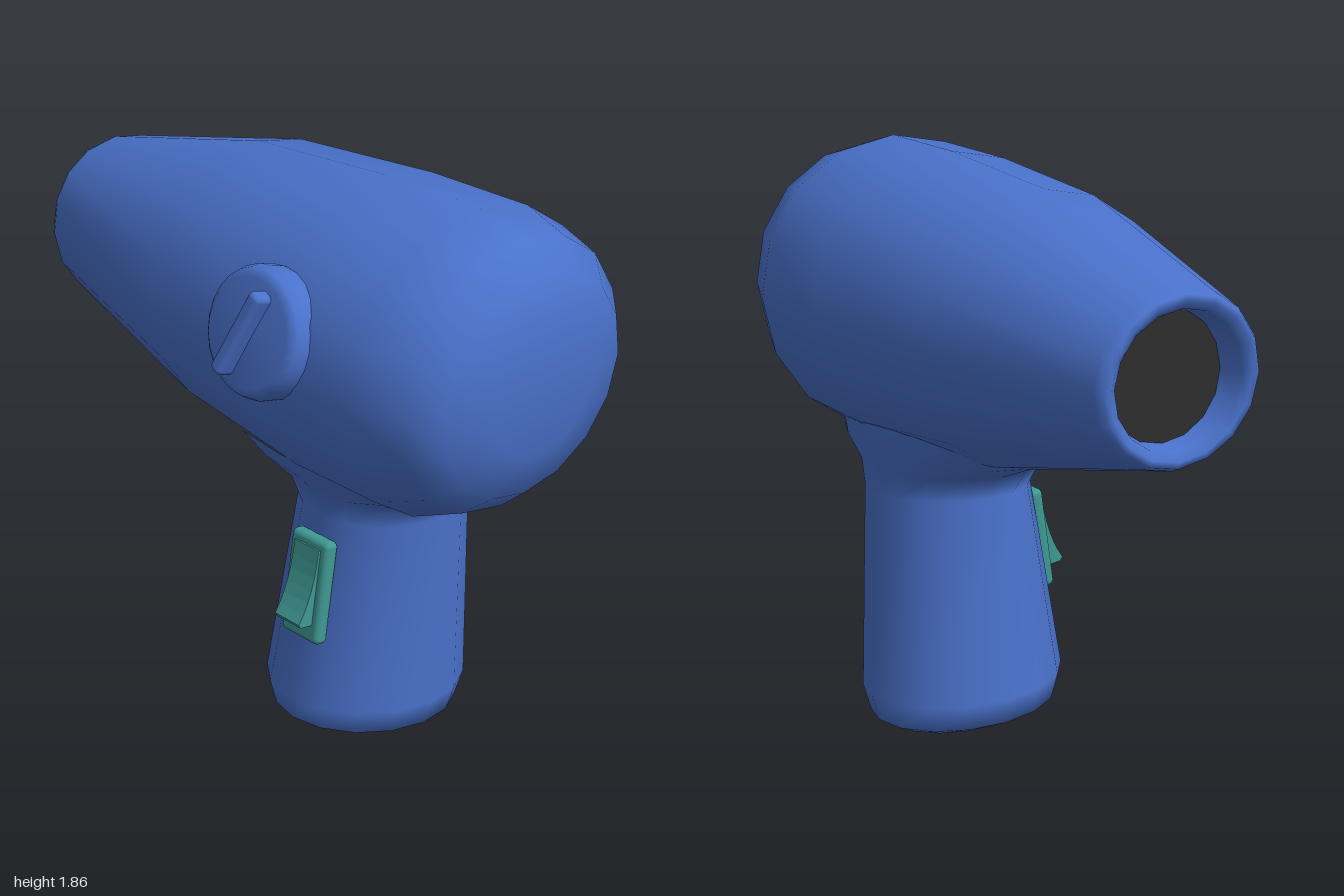
import * as THREE from 'three';
import { RoundedBoxGeometry } from 'three/addons/geometries/RoundedBoxGeometry.js';

const SIDES = 16;

// Skin a list of rings (each a function of cos, sin) with smooth normals; optional end caps.
function loft(rings, capStart, capEnd) {
  const pos = [], index = [];
  rings.forEach((ring) => {
    for (let j = 0; j < SIDES; j++) {
      const a = (j / SIDES) * Math.PI * 2;
      pos.push(...ring(Math.cos(a), Math.sin(a)));
    }
  });
  for (let i = 0; i < rings.length - 1; i++) {
    for (let j = 0; j < SIDES; j++) {
      const k = (j + 1) % SIDES;
      const a = i * SIDES + j, b = i * SIDES + k;
      index.push(a, b, b + SIDES, a, b + SIDES, a + SIDES);
    }
  }
  const cap = (ring, flip) => {
    const c = pos.length / 3, base = ring * SIDES;
    pos.push(...rings[ring](0, 0));
    for (let j = 0; j < SIDES; j++) {
      const a = base + j, b = base + ((j + 1) % SIDES);
      index.push(c, flip ? b : a, flip ? a : b);
    }
  };
  if (capStart) cap(0, true);
  if (capEnd) cap(rings.length - 1, false);
  const g = new THREE.BufferGeometry();
  g.setAttribute('position', new THREE.Float32BufferAttribute(pos, 3));
  g.setIndex(index);
  g.computeVertexNormals();
  return g;
}

export function createModel() {
  const group = new THREE.Group();
  const mat = (name, color) => {
    const m = new THREE.MeshStandardMaterial({ color });
    m.name = name;
    return m;
  };
  const blue = mat('blue shell', 0x4a72cc);
  const teal = mat('teal switch', 0x3f9993);
  const dark = mat('dark outlet', 0x2d2d2d);
  const add = (name, geometry, material, parent = group) => {
    const m = new THREE.Mesh(geometry, material);
    m.name = name;
    parent.add(m);
    return m;
  };

  // Barrel, from the recessed outlet to the rounded front: z, centre y, rx, ry, lean of the ring
  const barrel = [
    [-0.88, 1.385, 0.195, 0.195, -0.06],
    [-0.965, 1.385, 0.215, 0.21, -0.06],
    [-0.985, 1.385, 0.24, 0.235, -0.06],
    [-0.983, 1.385, 0.262, 0.255, -0.06],
    [-0.955, 1.385, 0.28, 0.268, -0.06],
    [-0.235, 1.385, 0.453, 0.437, -0.03],
    [0.32, 1.375, 0.5, 0.487, 0],
    [0.68, 1.378, 0.503, 0.487, 0.06],
    [0.853, 1.393, 0.44, 0.428, 0.06],
    [0.938, 1.388, 0.36, 0.347, 0.06],
    [0.985, 1.39, 0.21, 0.21, 0.07],
  ];
  add('barrel', loft(barrel.map(([z, cy, rx, ry, lean]) => (c, s) =>
    [0.053 + rx * c, cy + ry * s, z + lean * ry * s]), false, true), blue);

  // Dark disc inside the outlet
  const outlet = add('outlet', new THREE.CircleGeometry(0.2, 32), dark);
  outlet.position.set(0.053, 1.385, -0.885);
  outlet.rotation.set(0, Math.PI, 0);

  // Handle with a slanted foot and a flare into the barrel: y, x range, z range, slope
  const handle = [
    [0.02, -0.165, 0.31, 0.04, 0.41, -0.065],
    [0.06, -0.24, 0.387, -0.045, 0.51, -0.065],
    [0.145, -0.262, 0.41, -0.066, 0.535, -0.06],
    [0.8, -0.172, 0.37, 0.02, 0.54, 0],
    [0.885, -0.19, 0.375, -0.05, 0.59, 0],
    [0.95, -0.245, 0.39, -0.21, 0.76, 0],
    [1.04, -0.305, 0.4, -0.3, 0.82, 0],
  ];
  add('handle', loft(handle.map(([y, x0, x1, z0, z1, slope]) => (c, s) => {
    const rx = (x1 - x0) / 2;
    return [(x0 + x1) / 2 + rx * c, y + slope * rx * c, (z0 + z1) / 2 - ((z1 - z0) / 2) * s];
  }), true, false), blue);

  // Turning knob on the right side; its local y axis points outwards
  const knob = new THREE.Group();
  knob.name = 'knob';
  knob.position.set(-0.49, 1.51, 0.31);
  knob.rotation.z = Math.PI / 2 - 0.25;
  group.add(knob);
  const profile = [[0.19, -0.14], [0.2, -0.1], [0.2, -0.055], [0.19, -0.025], [0.165, -0.004], [0, 0]];
  add('knobBase', new THREE.LatheGeometry(profile.map(([r, y]) => new THREE.Vector2(r, y)), 24), blue, knob);
  const grip = add('knobGrip', new RoundedBoxGeometry(0.29, 0.08, 0.05, 3, 0.018), blue, knob);
  grip.position.y = 0.01;
  grip.rotation.y = -0.4;

  // Switch plate set into the handle
  const plate = add('switchPlate', new RoundedBoxGeometry(0.05, 0.345, 0.17, 3, 0.02), teal);
  plate.position.set(-0.213, 0.57, 0.28);
  plate.rotation.z = -0.146;

  // Curved rocker that sweeps outwards at the bottom
  const side = new THREE.Shape();
  side.moveTo(-0.2, 0.71);
  side.lineTo(-0.225, 0.715);
  side.quadraticCurveTo(-0.245, 0.57, -0.307, 0.485);
  side.lineTo(-0.3, 0.472);
  side.lineTo(-0.225, 0.46);
  const rocker = add('switchRocker', new THREE.ExtrudeGeometry(side, { depth: 0.11, bevelEnabled: false, curveSegments: 6 }), teal);
  rocker.position.z = 0.225;

  return group;
}
